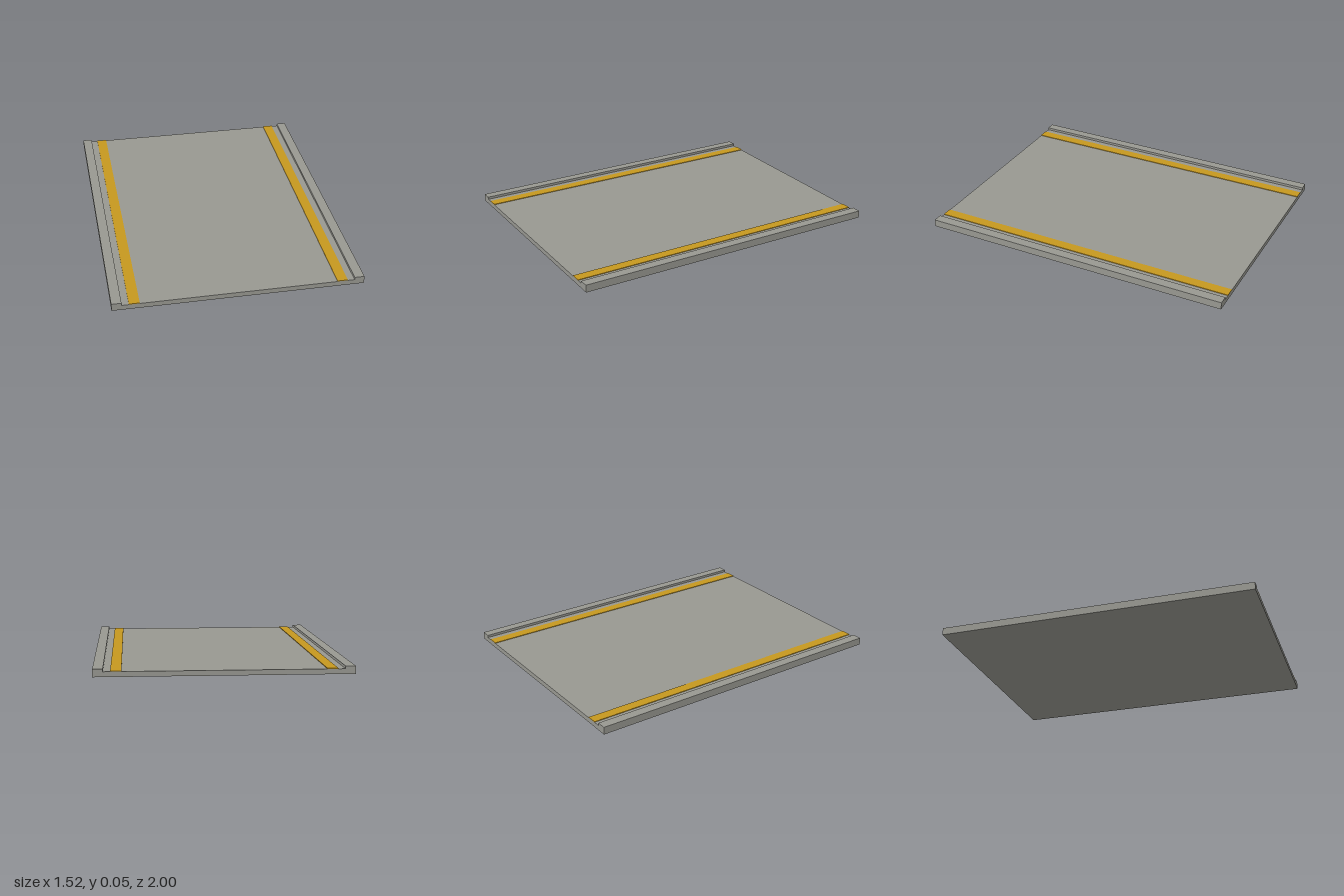
import * as THREE from 'three';

const HALF_WIDTH = 0.76, CURB_INNER = 0.7, LENGTH = 2;
const DECK_TOP = 0.031, CURB_TOP = 0.047;

export function createModel() {
  const concrete = new THREE.MeshStandardMaterial({ color: 0x989891 });
  concrete.name = 'concrete grey';
  const paint = new THREE.MeshStandardMaterial({ color: 0xc6981f });
  paint.name = 'safety yellow';

  const model = new THREE.Group();
  model.name = 'walkwayPanel';

  // Deck slab with a raised curb along each long edge
  const profile = new THREE.Shape([
    [-HALF_WIDTH, 0], [HALF_WIDTH, 0], [HALF_WIDTH, CURB_TOP], [CURB_INNER, CURB_TOP],
    [CURB_INNER, DECK_TOP], [-CURB_INNER, DECK_TOP], [-CURB_INNER, CURB_TOP], [-HALF_WIDTH, CURB_TOP],
  ].map(([x, y]) => new THREE.Vector2(x, y)));
  const deckGeometry = new THREE.ExtrudeGeometry(profile, { depth: LENGTH, bevelEnabled: false });
  deckGeometry.translate(0, 0, -LENGTH / 2);
  const deck = new THREE.Mesh(deckGeometry, concrete);
  deck.name = 'deckWithCurbs';
  model.add(deck);

  // Painted edge stripes, mirrored
  const stripeHeight = 0.004;
  for (const side of [-1, 1]) {
    const stripe = new THREE.Mesh(new THREE.BoxGeometry(0.064, stripeHeight, LENGTH), paint);
    stripe.name = side > 0 ? 'leftStripe' : 'rightStripe';
    stripe.position.set(side * 0.626, DECK_TOP + stripeHeight / 2, 0);
    model.add(stripe);
  }
  return model;
}
